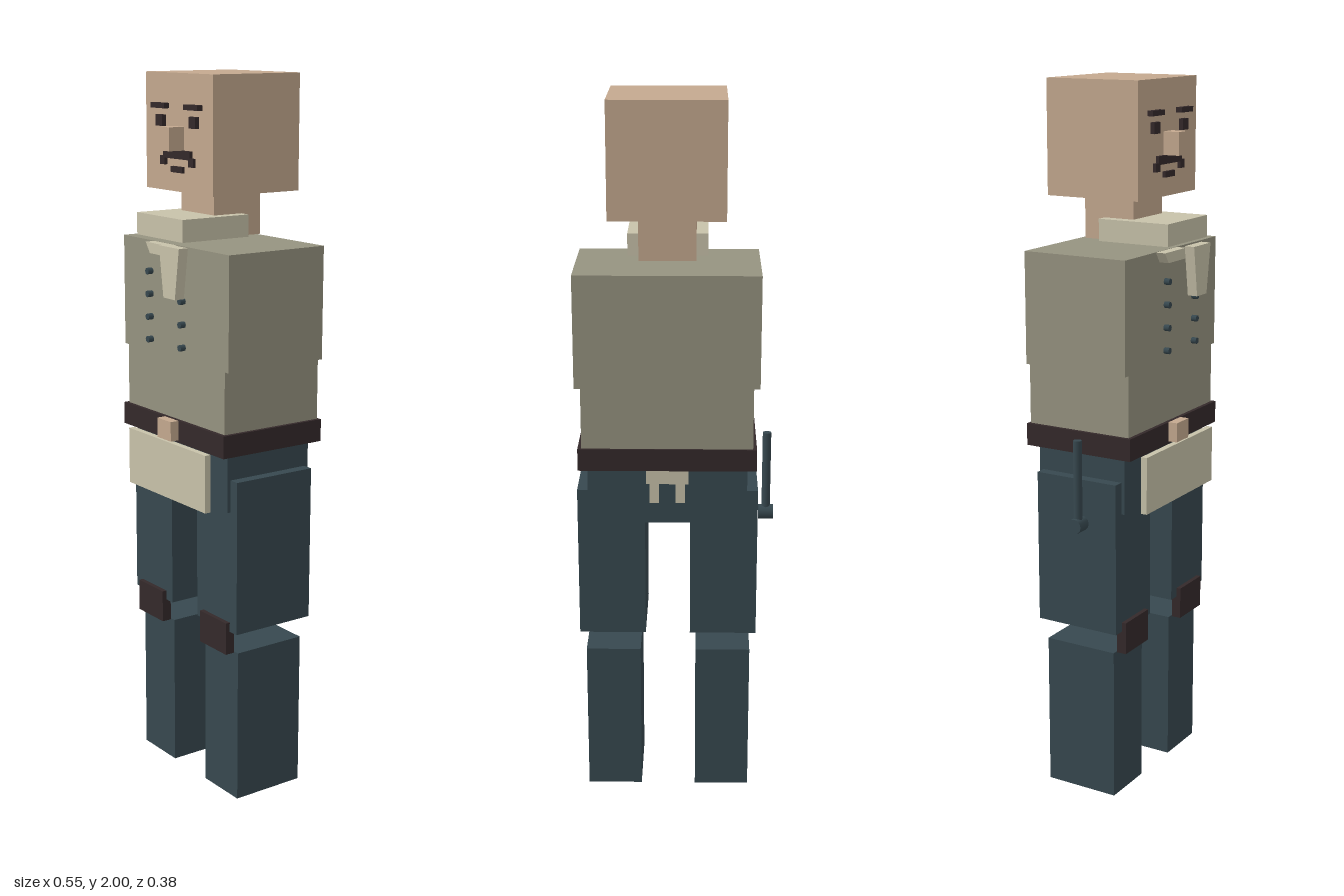
import * as THREE from 'three';

const mat = (name, color) => {
  const m = new THREE.MeshStandardMaterial({ color });
  m.name = name;
  return m;
};

export function createModel() {
  const model = new THREE.Group();
  model.name = 'blockFigure';
  const skin = mat('skin', 0xc4a98f);
  const shirt = mat('shirt', 0x969380);
  const cream = mat('cream', 0xc8c2aa);
  const leather = mat('darkLeather', 0x34292a);
  const cloth = mat('blueCloth', 0x37484f);
  const mid = 0.0235; // the body's own centre line

  const add = (name, geometry, material, x = 0, y = 0, z = 0, parent = model) => {
    const mesh = new THREE.Mesh(geometry, material);
    mesh.name = name;
    mesh.position.set(x, y, z);
    parent.add(mesh);
    return mesh;
  };
  // box given by its limits on each axis
  const box = (name, material, [x0, x1], [y0, y1], [z0, z1], parent) =>
    add(name, new THREE.BoxGeometry(x1 - x0, y1 - y0, z1 - z0), material,
      (x0 + x1) / 2, (y0 + y1) / 2, (z0 + z1) / 2, parent);
  // box centred on the body line, or at an offset from it
  const block = (name, material, offset, width, y, z, parent) =>
    box(name, material, [mid + offset - width / 2, mid + offset + width / 2], y, z, parent);
  // flat outline extruded forwards from z0 to z1
  const plate = (name, material, points, z0, z1) => {
    const shape = new THREE.Shape(points.map(([x, y]) => new THREE.Vector2(x, y)));
    return add(name, new THREE.ExtrudeGeometry(shape, { depth: z1 - z0, bevelEnabled: false }),
      material, 0, 0, z0);
  };

  // head and neck
  block('head', skin, 0, 0.312, [1.69, 2], [-0.169, 0.113]);
  block('neck', skin, 0, 0.154, [1.57, 1.69], [-0.1, 0.053]);
  block('nose', skin, 0, 0.046, [1.8, 1.862], [0.113, 0.16]);

  // face details
  const face = new THREE.Group();
  face.name = 'face';
  model.add(face);
  for (const s of [-1, 1]) {
    block('eyebrow', leather, s * 0.077, 0.064, [1.907, 1.921], [0.113, 0.13], face);
    block('eye', leather, s * 0.077, 0.031, [1.86, 1.89], [0.113, 0.125], face);
    block('moustacheEnd', leather, s * 0.066, 0.022, [1.759, 1.782], [0.113, 0.122], face);
  }
  block('moustache', leather, 0, 0.126, [1.777, 1.8], [0.113, 0.122], face);
  block('lip', leather, 0, 0.052, [1.741, 1.757], [0.113, 0.122], face);

  // torso
  block('chest', shirt, 0, 0.5, [1.24, 1.55], [-0.184, 0.13]);
  block('waist', shirt, 0, 0.466, [1.07, 1.24], [-0.184, 0.13]);

  // neckerchief with its hanging end
  block('collar', cream, 0, 0.218, [1.57, 1.63], [-0.037, 0.177]);
  plate('collarFlap', cream, [[-0.07, 1.55], [-0.05, 1.521], [0.044, 1.521], [0.044, 1.55]], 0.132, 0.16);
  plate('scarfEnd', cream, [[0.038, 1.555], [0.058, 1.417], [0.112, 1.417], [0.132, 1.555]], 0.16, 0.189);

  // two rows of buttons
  const button = new THREE.CylinderGeometry(0.009, 0.009, 0.016, 8).rotateX(Math.PI / 2);
  for (const s of [-1, 1]) {
    for (let i = 0; i < 4; i++) {
      add('button', button, cloth, mid + s * 0.077, 1.472 - i * 0.063, 0.16);
    }
  }

  // belt, apron and hips
  block('belt', leather, 0, 0.487, [1.008, 1.07], [-0.19, 0.141]);
  block('buckle', skin, 0, 0.066, [1.015, 1.07], [0.141, 0.167]);
  block('hips', cloth, 0, 0.438, [0.847, 1.008], [-0.165, 0.11]);
  block('apron', cream, 0, 0.375, [0.847, 1.008], [0.143, 0.161]);

  // cuffs hung behind the belt
  const cuffs = new THREE.Group();
  cuffs.name = 'cuffs';
  model.add(cuffs);
  block('cuffBar', cream, 0, 0.116, [0.965, 1.005], [-0.177, -0.162], cuffs);
  for (const s of [-1, 1]) {
    block('cuffLeg', cream, s * 0.036, 0.026, [0.91, 0.965], [-0.177, -0.162], cuffs);
  }

  // legs
  for (const s of [-1, 1]) {
    const leg = new THREE.Group();
    leg.name = s > 0 ? 'leftLeg' : 'rightLeg';
    model.add(leg);
    const x = s * 0.156;
    block('thigh', cloth, x, 0.187, [0.503, 0.937], [-0.153, 0.1], leg);
    block('kneePad', leather, x, 0.124, [0.438, 0.53], [0.085, 0.113], leg);
    block('shin', cloth, x, 0.155, [0, 0.44], [-0.135, 0.083], leg);
  }

  // baton hanging at the right hip
  const baton = new THREE.Group();
  baton.name = 'baton';
  model.add(baton);
  add('batonShaft', new THREE.CylinderGeometry(0.012, 0.012, 0.225, 12), cloth, -0.254, 0.943, -0.003, baton);
  add('batonKnob', new THREE.CylinderGeometry(0.021, 0.021, 0.042, 12).rotateZ(Math.PI / 2),
    cloth, -0.254, 0.816, -0.003, baton);

  return model;
}
